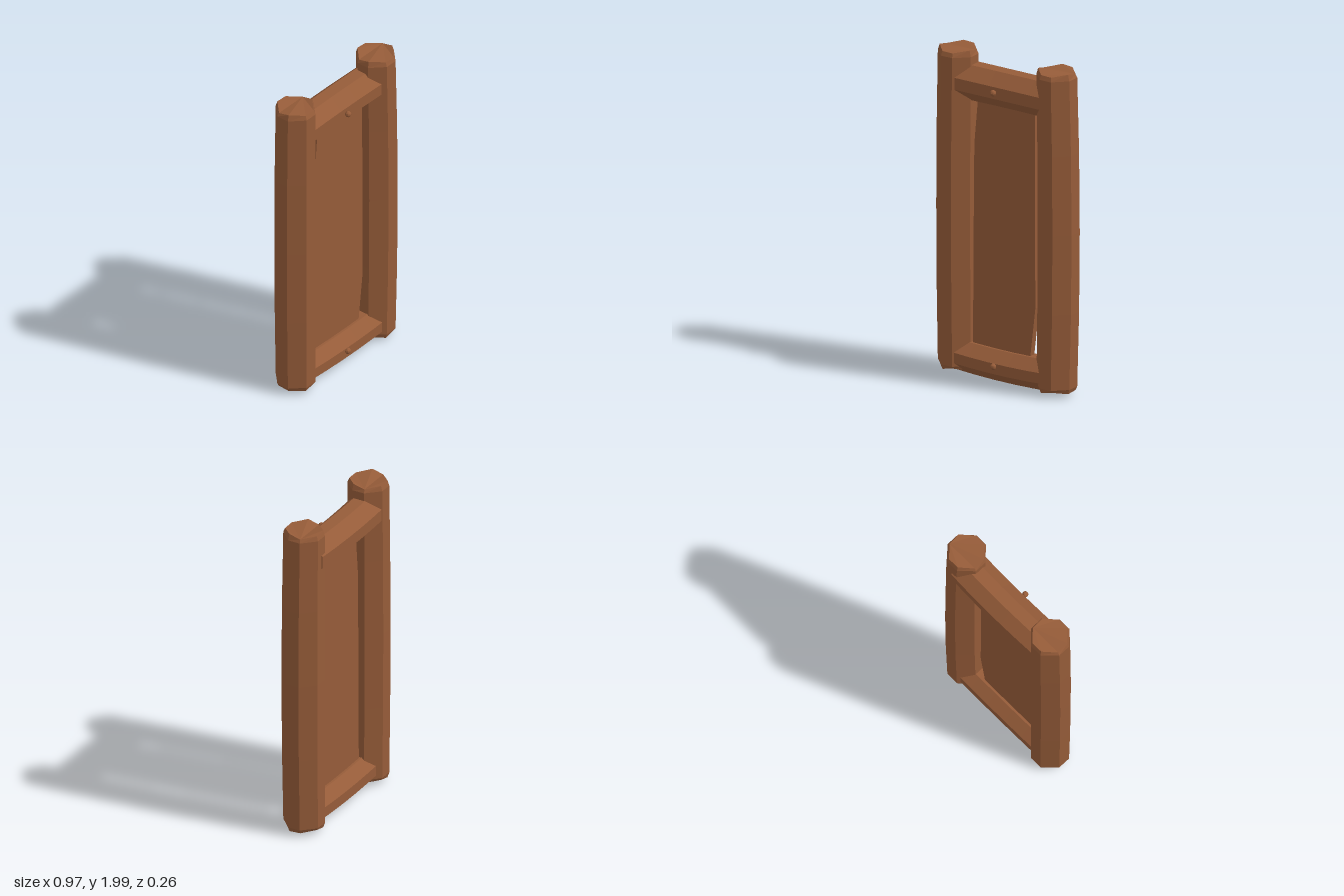
import * as THREE from 'three';

const wood = new THREE.MeshStandardMaterial({ color: 0x965c39, flatShading: true });
wood.name = 'brown wood';

// Hewn octagon with unit half-width and narrow flats facing the axes
const K = 0.34;
const OCT = [[1, -K], [1, K], [K, 1], [-K, 1], [-1, K], [-1, -K], [-K, -1], [K, -1]];

// Log along +y from cross-section rows: { y, x, z, rx, rz, rough }
function logGeometry(rows) {
  const pos = [], idx = [], n = OCT.length;
  rows.forEach((r) => OCT.forEach(([a, b], i) => {
    const chip = (r.rough || 0) * Math.sin(i * 2.4 + r.x * 9 + r.y);
    pos.push(r.x + a * r.rx, r.y + chip, r.z + b * r.rz);
  }));
  for (let j = 0; j < rows.length - 1; j++) {
    for (let i = 0; i < n; i++) {
      const a = j * n + i, b = j * n + (i + 1) % n;
      idx.push(a, a + n, b, b, a + n, b + n);
    }
  }
  // End caps
  const top = (rows.length - 1) * n;
  for (let i = 1; i < n - 1; i++) {
    idx.push(0, i, i + 1);
    idx.push(top, top + i + 1, top + i);
  }
  const g = new THREE.BufferGeometry();
  g.setAttribute('position', new THREE.Float32BufferAttribute(pos, 3));
  g.setIndex(idx);
  const flat = g.toNonIndexed();
  flat.computeVertexNormals();
  return flat;
}

function addMesh(group, name, geometry) {
  const mesh = new THREE.Mesh(geometry, wood);
  mesh.name = name;
  group.add(mesh);
  return mesh;
}

// Upright post, bowed outwards in the middle, with worn ends
function post(side, xEnd, bow, zMid) {
  const rows = [0, 0.012, 0.25, 0.5, 0.75, 0.985, 1].map((t) => {
    const swell = 4 * t * (1 - t);
    const end = t === 0 || t === 1;
    const r = 0.117 + 0.004 * swell - (end ? 0.01 : 0);
    return {
      y: 0.035 + t * 1.955, x: side * (xEnd + bow * swell), z: zMid,
      rx: r, rz: r, rough: end ? 0.009 : 0,
    };
  });
  return logGeometry(rows);
}

// Cross rail laid along x; sag moves its middle in y, push in z
function rail(y, z, ry, rz, sag, push) {
  const half = 0.35;
  const rows = [-1, -0.6, -0.2, 0.2, 0.6, 1].map((t) => {
    const swell = 1 - t * t;
    return { y: t * half, x: y + sag * swell, z: z + push * swell, rx: ry, rz };
  });
  // Turn the log so that its length runs along x and its width along y
  const g = logGeometry(rows);
  g.rotateZ(-Math.PI / 2);
  g.scale(1, -1, 1);
  // Restore the corner order after mirroring
  const p = g.attributes.position;
  for (let i = 0; i < p.count; i += 3) {
    const a = new THREE.Vector3().fromBufferAttribute(p, i + 1);
    const b = new THREE.Vector3().fromBufferAttribute(p, i + 2);
    p.setXYZ(i + 1, b.x, b.y, b.z);
    p.setXYZ(i + 2, a.x, a.y, a.z);
  }
  g.computeVertexNormals();
  return g;
}

export function createModel() {
  const model = new THREE.Group();
  model.name = 'woodenPanelFrame';

  addMesh(model, 'leftPost', post(1, 0.35, 0.014, 0.002));
  addMesh(model, 'rightPost', post(-1, 0.361, 0.007, -0.01));
  addMesh(model, 'topRail', rail(1.803, -0.012, 0.108, 0.111, -0.003, -0.008));
  addMesh(model, 'bottomRail', rail(0.115, 0, 0.095, 0.1, -0.012, 0));

  // Rough-cut board between the rails
  const outline = new THREE.Shape([
    [-0.235, 0.12], [0.165, 0.12], [0.21, 0.5], [0.206, 1.78],
    [-0.193, 1.78], [-0.225, 1.43], [-0.23, 0.9],
  ].map(([x, y]) => new THREE.Vector2(x, y)));
  const board = new THREE.ExtrudeGeometry(outline, { depth: 0.04, bevelEnabled: false });
  addMesh(model, 'board', board.translate(0, 0, -0.02));

  // Round pegs on the front of the rails
  [['topPeg', 1.806, 0.11], ['bottomPeg', 0.12, 0.108]].forEach(([name, y, z]) => {
    addMesh(model, name, new THREE.SphereGeometry(0.019, 8, 6)).position.set(-0.028, y, z);
  });

  return model;
}
